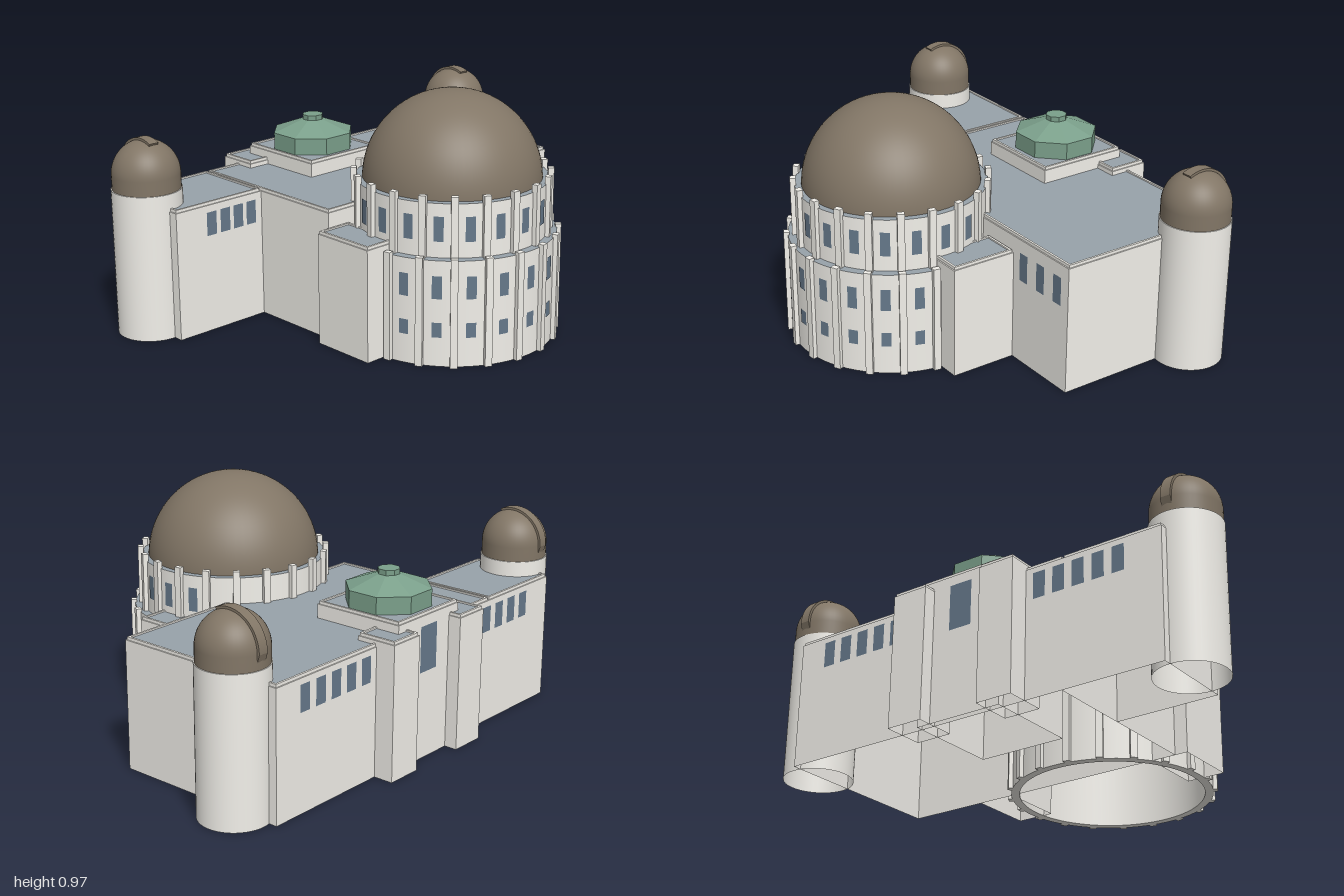
import * as THREE from 'three';

const mat = (color, opts = {}) => new THREE.MeshStandardMaterial({ color, ...opts });
const WALL = mat(0xf2f0ea, { side: THREE.DoubleSide });
const ROOF = mat(0x98a2aa, { side: THREE.DoubleSide });
const DOME = mat(0x827666, { side: THREE.DoubleSide });
const GLASS = mat(0x66798b);
const GREEN = mat(0x7ba08b, { flatShading: true });

function add(parent, name, geometry, material, x = 0, y = 0, z = 0) {
  const mesh = new THREE.Mesh(geometry, material);
  mesh.name = name;
  mesh.position.set(x, y, z);
  parent.add(mesh);
  return mesh;
}

function addGroup(parent, name) {
  const group = new THREE.Group();
  group.name = name;
  parent.add(group);
  return group;
}

// Box given by its limits
function box(parent, name, material, [x0, x1], [y0, y1], [z0, z1]) {
  const g = new THREE.BoxGeometry(x1 - x0, y1 - y0, z1 - z0);
  return add(parent, name, g, material, (x0 + x1) / 2, (y0 + y1) / 2, (z0 + z1) / 2);
}

// Building block: walls open at the ground, flat roof and a slim parapet
function block(parent, name, [x0, x1], h, [z0, z1]) {
  const group = addGroup(parent, name);
  const top = h - 0.012, e = 0.005, w = 0.009;
  const walls = box(group, name + 'Walls', WALL, [x0, x1], [0, top], [z0, z1]);
  const index = Array.from(walls.geometry.index.array);
  index.splice(18, 6); // no floor
  walls.geometry.setIndex(index);
  walls.geometry.clearGroups();
  const roof = new THREE.PlaneGeometry(x1 - x0 - 2 * e, z1 - z0 - 2 * e).rotateX(-Math.PI / 2);
  add(group, name + 'Roof', roof, ROOF, (x0 + x1) / 2, top + 0.006, (z0 + z1) / 2);
  const [a, b, c, d] = [x0 + e, x1 - e, z0 + e, z1 - e];
  for (const [xs, zs] of [[[a, b], [c, c + w]], [[a, b], [d - w, d]],
    [[a, a + w], [c + w, d - w]], [[b - w, b], [c + w, d - w]]])
    box(group, name + 'Parapet', WALL, xs, [top, h], zs);
}

// Row of flat panes just off a wall; facing is 1 for front, -1 for back
function windows(parent, xs, width, [y0, y1], z, facing = 1) {
  for (const x of xs) {
    const pane = new THREE.PlaneGeometry(width, y1 - y0);
    if (facing < 0) pane.rotateY(Math.PI);
    add(parent, 'window', pane, GLASS, x, (y0 + y1) / 2, z + facing * 0.002);
  }
}

// Round storey with 20 bays: wall, roof ring, piers and windows
const BAYS = 20;
function drum(parent, name, radius, inner, [foot, y0, y1], pierTop, rows, lastBay) {
  const group = addGroup(parent, name);
  const wall = new THREE.CylinderGeometry(radius, radius, y1 - foot, 80, 1, true);
  add(group, name + 'Wall', wall, WALL, 0, (foot + y1) / 2, 0);
  const ring = new THREE.RingGeometry(inner, radius, 80).rotateX(-Math.PI / 2);
  add(group, name + 'Roof', ring, ROOF, 0, y1, 0);
  for (let i = 0; i < BAYS; i++) {
    const bay = addGroup(group, name + 'Bay');
    bay.rotation.y = ((i + 0.5) / BAYS) * Math.PI * 2;
    box(bay, 'pier', WALL, [-0.014, 0.014], [y0, pierTop], [radius - 0.006, radius + 0.017]);
  }
  for (let i = -lastBay; i <= lastBay; i++) {
    const bay = addGroup(group, name + 'Windows');
    bay.rotation.y = (i / BAYS) * Math.PI * 2;
    for (const row of rows) windows(bay, [0], 0.038, row, radius);
  }
}

// Corner tower with a small slit dome
function tower(parent, x, z) {
  const group = addGroup(parent, 'tower');
  group.position.set(x, 0, z);
  const R = 0.138, r = 0.134, base = 0.587, spring = 0.645;
  add(group, 'towerWall', new THREE.CylinderGeometry(R, R, base, 48, 1, true), WALL, 0, base / 2, 0);
  add(group, 'towerLedge', new THREE.CircleGeometry(R, 48).rotateX(-Math.PI / 2), WALL, 0, base, 0);
  const profile = [new THREE.Vector2(r, base)];
  for (let i = 0; i <= 16; i++) {
    const a = (i / 16) * Math.PI / 2;
    profile.push(new THREE.Vector2(r * Math.cos(a), spring + r * Math.sin(a)));
  }
  profile.reverse();
  profile[0].x = 0;
  add(group, 'towerDome', new THREE.LatheGeometry(profile.reverse(), 48), DOME);

  // Shutter strip from just past the apex down the back
  const end = THREE.MathUtils.degToRad(115), outer = 0.142, under = 0.124;
  const s = new THREE.Shape();
  s.moveTo(outer, base - spring);
  s.absarc(0, 0, outer, 0, end, false);
  s.lineTo(under * Math.cos(end), under * Math.sin(end));
  s.absarc(0, 0, under, end, 0, true);
  s.lineTo(under, base - spring);
  const g = new THREE.ExtrudeGeometry(s, { depth: 0.042, bevelEnabled: false, curveSegments: 24 });
  g.translate(0, 0, -0.021).rotateY(Math.PI / 2);
  add(group, 'domeShutter', g, DOME, 0, spring, 0);
}

export function createModel() {
  const model = new THREE.Group();
  model.name = 'observatory';

  // Main hall, side wing and flanking blocks
  block(model, 'hall', [-0.44, 0.83], 0.53, [-0.66, 0.085]);
  block(model, 'wing', [-0.86, -0.44], 0.53, [-0.66, -0.313]);
  block(model, 'flankLeft', [0.335, 0.495], 0.46, [0.085, 0.357]);
  block(model, 'flankRight', [-0.495, -0.335], 0.46, [0.085, 0.357]);

  // Rear pavilion between two buttresses
  block(model, 'pavilion', [-0.186, 0.186], 0.592, [-0.688, -0.297]);
  block(model, 'buttressLeft', [0.128, 0.28], 0.553, [-0.742, -0.572]);
  block(model, 'buttressRight', [-0.28, -0.128], 0.553, [-0.742, -0.572]);

  // Windows of the straight walls
  windows(model, [-0.692, -0.625, -0.56, -0.495], 0.047, [0.395, 0.49], -0.313);
  windows(model, [0.56, 0.663, 0.765], 0.047, [0.35, 0.465], 0.085);
  for (const side of [-1, 1])
    windows(model, [0.34, 0.425, 0.51, 0.595, 0.68].map((x) => x * side), 0.052, [0.39, 0.495], -0.66, -1);
  windows(model, [0], 0.1, [0.355, 0.54], -0.688, -1);

  // Great rotunda; the upper wall runs down to the ground inside the lower one
  const rotunda = addGroup(model, 'rotunda');
  rotunda.position.z = 0.316;
  drum(rotunda, 'lowerDrum', 0.41, 0.376, [0, 0, 0.42], 0.432, [[0.27, 0.36], [0.117, 0.176]], 4);
  drum(rotunda, 'upperDrum', 0.376, 0.34, [0, 0.42, 0.63], 0.66, [[0.483, 0.58]], 6);
  add(rotunda, 'drumFoot', new THREE.RingGeometry(0.376, 0.41, 80).rotateX(Math.PI / 2), WALL);
  const cap = new THREE.SphereGeometry(0.35, 64, 24, 0, Math.PI * 2, 0, Math.PI / 2);
  add(rotunda, 'greatDome', cap, DOME, 0, 0.618, 0);

  // Octagonal green lantern
  const lantern = addGroup(model, 'lantern');
  lantern.position.z = -0.494;
  lantern.rotation.y = Math.PI / 8;
  const R = 0.158 / Math.cos(Math.PI / 8);
  add(lantern, 'lanternWall', new THREE.CylinderGeometry(R, R, 0.075, 8), GREEN, 0, 0.6175, 0);
  add(lantern, 'lanternRoof', new THREE.CylinderGeometry(0.045, R, 0.047, 8), GREEN, 0, 0.6785, 0);
  add(lantern, 'lanternCap', new THREE.CylinderGeometry(0.044, 0.044, 0.025, 8), GREEN, 0, 0.71, 0);

  // Corner towers
  for (const side of [-1, 1]) tower(model, side * 0.862, -0.491);
  return model;
}
